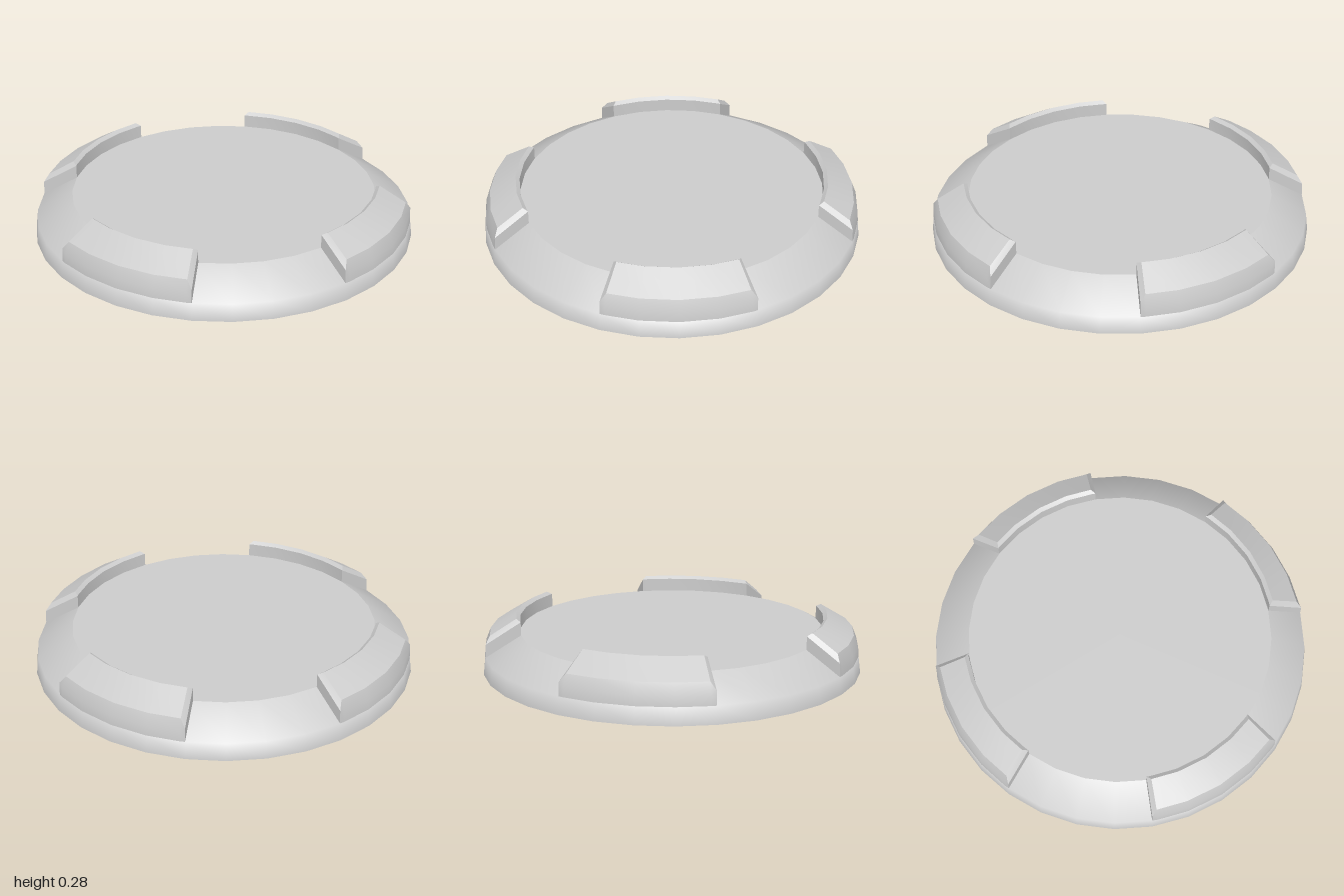
import * as THREE from 'three';
import { toCreasedNormals } from 'three/addons/utils/BufferGeometryUtils.js';

const SEGMENTS = 32;
const TOP_RADIUS = 0.8;
const TOP_HEIGHT = 0.2;

// Cross-sections of a raised lip as [radius, height], from inner foot over the top to outer foot
const MIDDLE = [[0.8, 0.19], [0.8, 0.27], [0.82, 0.285], [0.96, 0.2], [0.984, 0.14], [0.989, 0.09]];
const END = [[0.8, 0.2], [0.8, 0.27], [0.8, 0.27], [0.985, 0.16], [0.985, 0.16], [0.988, 0.09]];

// Curved lip with bevelled ends, swept around the rim
function lipGeometry() {
  const angles = [-22.5, -21, -11.25, 0, 11.25, 21, 22.5];
  const last = angles.length - 1;
  const rings = angles.map((deg, i) => {
    const a = THREE.MathUtils.degToRad(deg);
    return (i === 0 || i === last ? END : MIDDLE).map(
      ([r, y]) => new THREE.Vector3(r * Math.sin(a), y, r * Math.cos(a)));
  });

  const points = [];
  const tri = (a, b, c) => {
    if (new THREE.Triangle(a, b, c).getArea() > 1e-7) points.push(a, b, c);
  };
  const quad = (a, b, c, d) => { tri(a, b, c); tri(a, c, d); };

  for (let i = 0; i < last; i++) {
    for (let j = 0; j < END.length - 1; j++) {
      quad(rings[i][j], rings[i][j + 1], rings[i + 1][j + 1], rings[i + 1][j]);
    }
  }
  // End faces
  const cap = (ring) => [ring[0], ring[1], ring[3], ring[5]];
  quad(...cap(rings[last]));
  quad(...cap(rings[0]).reverse());

  return toCreasedNormals(new THREE.BufferGeometry().setFromPoints(points), 0.5);
}

export function createModel() {
  const group = new THREE.Group();
  group.name = 'lippedDisc';

  const grey = new THREE.MeshStandardMaterial({ color: 0xcccccc });
  grey.name = 'lightGrey';

  const add = (name, geometry) => {
    const mesh = new THREE.Mesh(geometry, grey);
    mesh.name = name;
    group.add(mesh);
    return mesh;
  };

  // Rounded side of the disc
  const profile = [[1, 0], [0.988, 0.09], [TOP_RADIUS, TOP_HEIGHT]].map(([r, y]) => new THREE.Vector2(r, y));
  add('roundedSide', new THREE.LatheGeometry(profile, SEGMENTS));

  // Flat top and underside
  const top = add('topFace', new THREE.CircleGeometry(TOP_RADIUS, SEGMENTS));
  top.rotation.x = -Math.PI / 2;
  top.position.y = TOP_HEIGHT;
  add('underside', new THREE.CircleGeometry(1, SEGMENTS)).rotation.x = Math.PI / 2;

  // Four raised lips at the quarter points
  const lip = lipGeometry();
  ['frontLip', 'leftLip', 'backLip', 'rightLip'].forEach((name, i) => {
    add(name, lip).rotation.y = i * Math.PI / 2;
  });

  return group;
}
